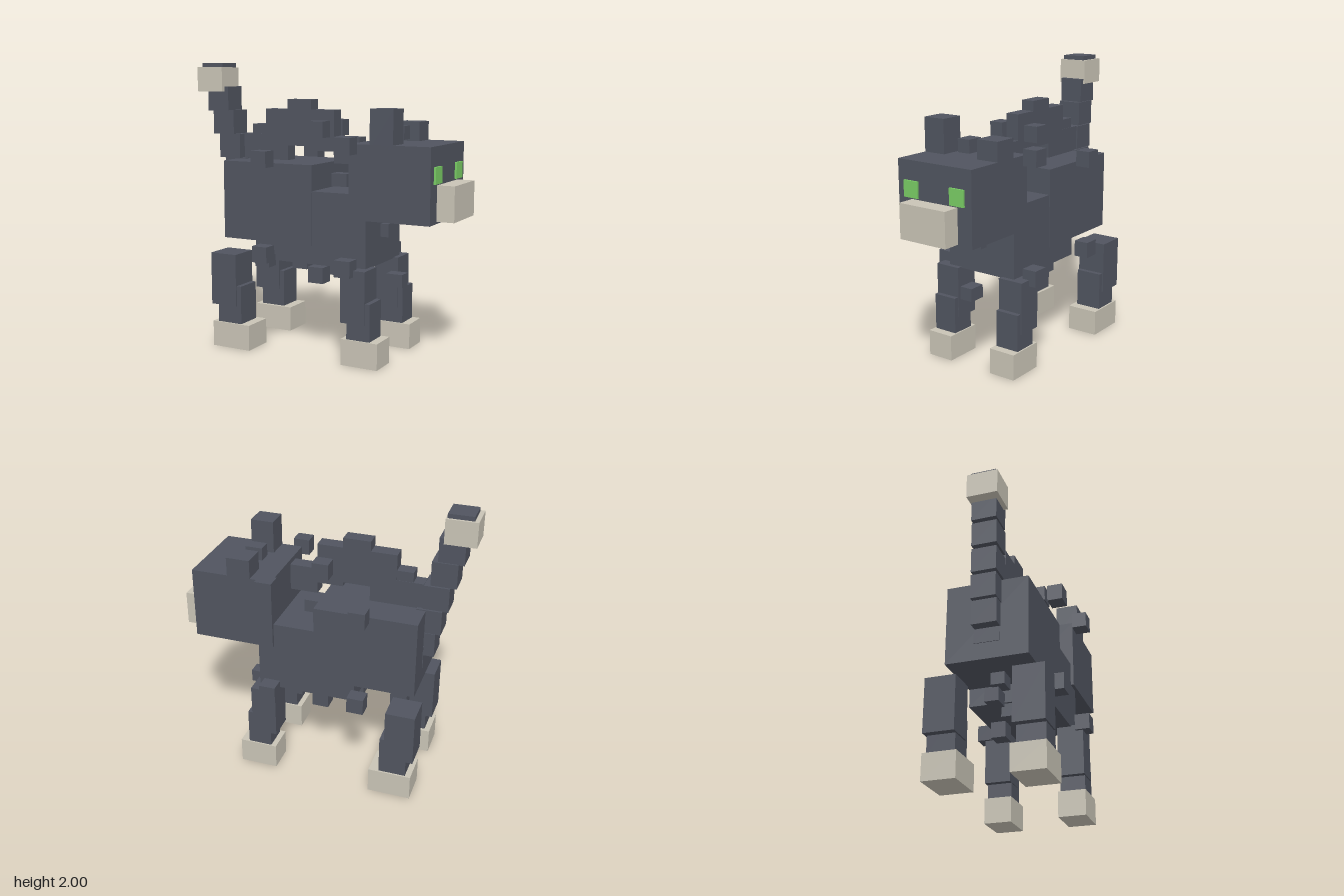
import * as THREE from 'three';

export function createModel() {
  const model = new THREE.Group();
  model.name = 'boxCreature';
  const material = (name, color) => {
    const m = new THREE.MeshStandardMaterial({ color });
    m.name = name;
    return m;
  };
  const dark = material('charcoal', 0x50545f);
  const cream = material('cream', 0xc8c3b5);
  const green = material('green', 0x79cc64);

  // Box given by its lower and upper limits on each axis
  function box(name, x0, x1, y0, y1, z0, z1, mat = dark) {
    const mesh = new THREE.Mesh(new THREE.BoxGeometry(x1 - x0, y1 - y0, z1 - z0), mat);
    mesh.position.set((x0 + x1) / 2, (y0 + y1) / 2, (z0 + z1) / 2);
    mesh.name = name;
    model.add(mesh);
  }
  // The same box on both sides of the body
  function pair(name, x0, x1, y0, y1, z0, z1, mat) {
    box(name + 'Near', x0, x1, y0, y1, z0, z1, mat);
    box(name + 'Far', x0, x1, y0, y1, -z1, -z0, mat);
  }

  // Body
  box('hindBody', -0.70, 0.01, 0.77, 1.32, -0.28, 0.28);
  box('foreBody', -0.28, 0.415, 0.643, 1.143, -0.275, 0.275);

  // Head, facing +x
  box('head', 0.30, 0.873, 0.975, 1.475, -0.297, 0.297);
  box('muzzle', 0.87, 0.993, 0.99, 1.225, -0.185, 0.185, cream);
  pair('eye', 0.87, 0.887, 1.235, 1.345, 0.13, 0.243, green);
  box('tallEar', 0.45, 0.615, 1.45, 1.705, 0.135, 0.297);
  box('shortEar', 0.45, 0.615, 1.45, 1.605, -0.297, -0.135);

  // Legs
  pair('frontUpperLeg', 0.27, 0.45, 0.29, 0.65, 0.175, 0.362);
  pair('frontLowerLeg', 0.315, 0.485, 0.17, 0.435, 0.18, 0.355);
  pair('frontFoot', 0.277, 0.545, 0, 0.18, 0.17, 0.365, cream);
  pair('hindUpperLeg', -0.74, -0.535, 0.305, 0.675, 0.185, 0.395);
  pair('hindLowerLeg', -0.69, -0.50, 0.17, 0.45, 0.195, 0.385);
  pair('hindFoot', -0.73, -0.43, 0, 0.18, 0.17, 0.397, cream);

  // Arched crest along the back: x0, x1, y0, y1
  [
    [-0.675, -0.49, 1.31, 1.50],
    [-0.49, -0.31, 1.31, 1.68],
    [-0.31, -0.12, 1.425, 1.75],
    [-0.12, 0.06, 1.395, 1.68],
    [0.06, 0.255, 1.315, 1.50],
  ].forEach((s, i) => box('crest' + (i + 1), ...s, -0.05, 0.05));

  // Tail rising in steps and drifting sideways: x0, y0, z0
  [
    [-0.705, 0.885, -0.085],
    [-0.775, 0.985, -0.08],
    [-0.81, 1.155, -0.075],
    [-0.847, 1.325, -0.06],
    [-0.888, 1.495, -0.045],
    [-0.925, 1.663, -0.035],
    [-0.965, 1.83, -0.028],
  ].forEach(([x, y, z], i) => box('tail' + (i + 1), x, x + 0.173, y, y + 0.172, z, z + 0.172));
  box('tailBand', -0.995, -0.783, 1.80, 1.972, -0.045, 0.167, cream);

  // Tufts on both flanks, shoulders and belly: x centre, y centre, z centre
  [
    [-0.327, 1.355, 0.362], [0.308, 1.467, 0.362],
    [-0.327, 0.70, 0.362], [0.308, 0.663, 0.362],
    [-0.008, 1.553, 0.145], [-0.008, 0.548, 0.145],
  ].forEach(([x, y, z], i) =>
    pair('sideTuft' + (i + 1), x - 0.058, x + 0.058, y - 0.056, y + 0.056, z - 0.052, z + 0.052));

  // Tufts along the middle line: x centre, y centre
  [
    [0.522, 1.54], [-0.543, 1.525], [0.097, 1.2], [0.415, 0.877], [0.52, 0.537],
    [0.202, 0.621], [-0.22, 0.59], [-0.43, 0.731], [-0.538, 0.57],
  ].forEach(([x, y], i) =>
    box('middleTuft' + (i + 1), x - 0.06, x + 0.06, y - 0.045, y + 0.045, -0.047, 0.047));

  return model;
}
